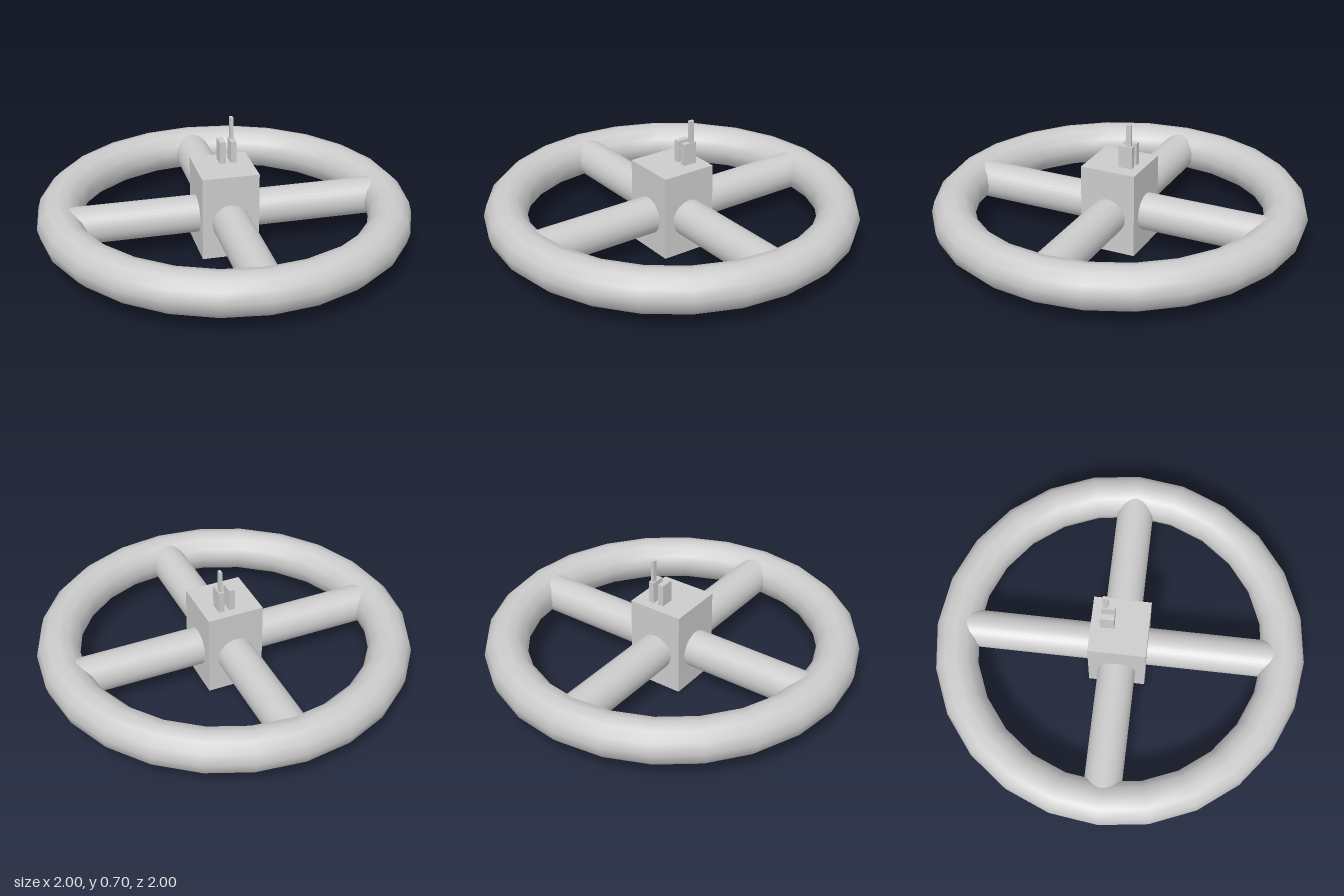
import * as THREE from 'three';

export function createModel() {
  const model = new THREE.Group();
  const grey = new THREE.MeshStandardMaterial({ color: 0xcccccc });
  const midY = 0.2;

  const add = (name, geometry, x, y, z) => {
    const mesh = new THREE.Mesh(geometry, grey);
    mesh.name = name;
    mesh.position.set(x, y, z);
    model.add(mesh);
    return mesh;
  };
  // Box standing on a given base height
  const block = (name, w, h, d, x, base, z) =>
    add(name, new THREE.BoxGeometry(w, h, d), x, base + h / 2, z);

  // Outer ring, lying flat
  const ring = new THREE.TorusGeometry(0.885, 0.115, 12, 24).rotateX(Math.PI / 2);
  add('ring', ring, 0, midY, 0);

  // Two crossing round bars form the four spokes
  const bar = new THREE.CylinderGeometry(0.1, 0.1, 1.75, 32);
  add('sideSpokes', bar, 0, midY, 0).rotation.z = Math.PI / 2;
  add('frontBackSpokes', bar, 0, midY, 0).rotation.x = Math.PI / 2;

  // Central hub
  block('hub', 0.306, 0.46, 0.306, 0, 0, 0);

  // Small towers and mast on the hub
  block('centreTower', 0.032, 0.12, 0.076, 0, 0.46, -0.065);
  block('leftTower', 0.03, 0.12, 0.076, 0.058, 0.46, -0.065);
  block('mast', 0.016, 0.12, 0.027, 0.058, 0.58, -0.08);

  return model;
}
